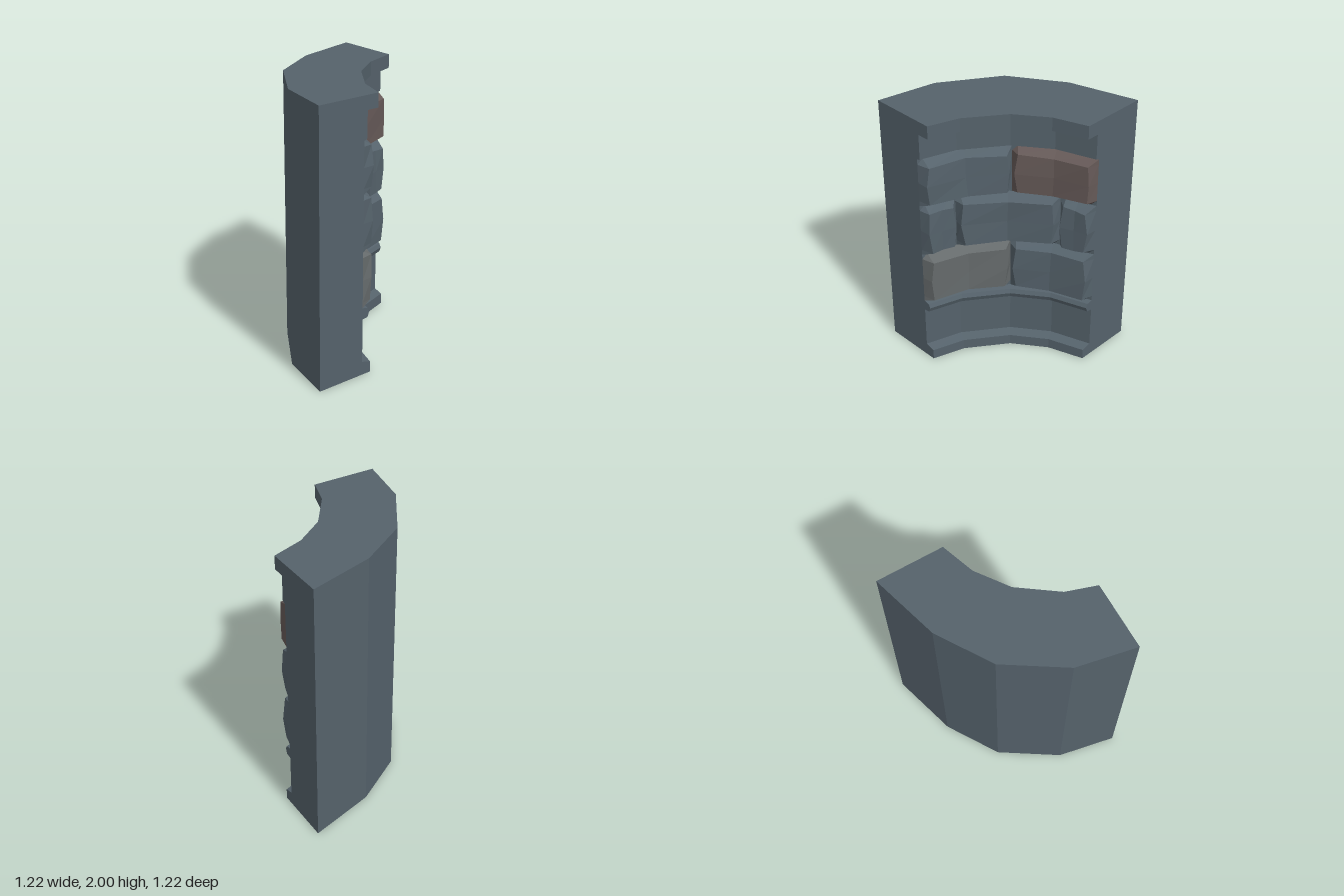
import * as THREE from 'three';

const C = 0.787;   // arc centre (x and z)
const END = 0.608; // plane of both cut ends
const BED = 1.043; // radius at the stone joints
const rad = THREE.MathUtils.degToRad;

const endAngle = (r) => Math.asin((C - END) / r);

// Point on the arc, kept between the two cut planes
function arcPoint(a, r, y) {
  const e = endAngle(r);
  const t = THREE.MathUtils.clamp(a, e, Math.PI / 2 - e);
  return [C - r * Math.cos(t), y, C - r * Math.sin(t)];
}

let seed = 7;
function jitter(amount) {
  seed = (seed * 16807) % 2147483647;
  return (seed / 2147483647 - 0.5) * 2 * amount;
}

function stone(color) {
  return new THREE.MeshStandardMaterial({ color, flatShading: true });
}

// Moulded profile swept along the arc, with a faceted outer face
function wallGeometry() {
  const profile = [ // radius, height
    [0.973, 0], [0.973, 0.08], [BED, 0.1], [BED, 0.425], [1.0, 0.432],
    [0.985, 0.47], [1.0, 0.5], [BED, 0.51], [BED, 1.7], [1.017, 1.71],
    [1.017, 1.9], [0.929, 1.9], [0.929, 2],
  ];
  const stations = [0, 25.3, 45.9, 63, 90].map(rad);
  const outer = [[-0.61, END], [-0.525, 0.18], [-0.262, -0.23], [0.118, -0.47], [END, -0.61]];
  const loops = stations.map((a, i) => [
    ...profile.map(([r, y]) => arcPoint(a, r, y)),
    [outer[i][0], 2, outer[i][1]],
    [outer[i][0], 0, outer[i][1]],
  ]);
  const n = loops[0].length;
  const pos = [];
  const tri = (a, b, c) => pos.push(...a, ...b, ...c);
  for (let i = 0; i < loops.length - 1; i++) {
    for (let j = 0; j < n; j++) {
      const k = (j + 1) % n;
      const [a, b, c, d] = [loops[i][j], loops[i + 1][j], loops[i + 1][k], loops[i][k]];
      tri(a, b, c);
      tri(a, c, d);
    }
  }
  // Cut ends
  const first = loops[0], last = loops[loops.length - 1];
  const contour = first.map(([x, y]) => new THREE.Vector2(x, y));
  for (const [a, b, c] of THREE.ShapeUtils.triangulateShape(contour, [])) {
    tri(first[a], first[b], first[c]);
    tri(last[c], last[b], last[a]);
  }
  const geo = new THREE.BufferGeometry();
  geo.setAttribute('position', new THREE.Float32BufferAttribute(pos, 3));
  geo.computeVertexNormals();
  return geo;
}

// Pillowed stone: the rim of a grid sits in the joints, the inside forms the face
function blockGeometry(a0, a1, y0, y1) {
  const geo = new THREE.PlaneGeometry(1, 1, 4, 4);
  const p = geo.attributes.position;
  for (let k = 0; k < p.count; k++) {
    const i = k % 5, j = 4 - Math.floor(k / 5);
    const rim = i === 0 || i === 4 || j === 0 || j === 4;
    const insetA = rad(j === 2 ? 1.2 : 2.1);
    const insetY = 0.04;
    const lo = Math.max(a0, endAngle(BED)), hi = Math.min(a1, Math.PI / 2 - endAngle(BED));
    const fa = [lo, lo + insetA, (lo + hi) / 2, hi - insetA, hi][i];
    const fy = [y0, y0 + insetY, (y0 + y1) / 2, y1 - insetY, y1][j];
    const r = rim ? BED : 0.963 + jitter(0.006);
    const da = rim ? 0 : jitter(0.007);
    const dy = rim || j === 2 ? 0 : jitter(0.008);
    p.setXYZ(k, ...arcPoint(fa + da, r, fy + dy));
  }
  const flat = geo.toNonIndexed();
  flat.computeVertexNormals();
  return flat;
}

export function createModel() {
  const group = new THREE.Group();
  const slate = stone(0x55626b);
  const brown = stone(0x655957);
  const grey = stone(0x666b6c);

  const wall = new THREE.Mesh(wallGeometry(), slate);
  wall.name = 'wall';
  group.add(wall);

  // Three courses of stones with staggered joints
  const courses = [
    { y: [0.51, 0.92], joints: [0, 46, 90], mats: [grey, slate] },
    { y: [0.92, 1.33], joints: [0, 24.5, 65.5, 90], mats: [slate, slate, slate] },
    { y: [1.33, 1.7], joints: [0, 46.5, 90], mats: [slate, brown] },
  ];
  courses.forEach(({ y, joints, mats }, c) => {
    const course = new THREE.Group();
    course.name = `stoneCourse${c + 1}`;
    mats.forEach((mat, i) => {
      const geo = blockGeometry(rad(joints[i]), rad(joints[i + 1]), y[0], y[1]);
      const block = new THREE.Mesh(geo, mat);
      block.name = `stoneBlock${i + 1}`;
      course.add(block);
    });
    group.add(course);
  });
  return group;
}
